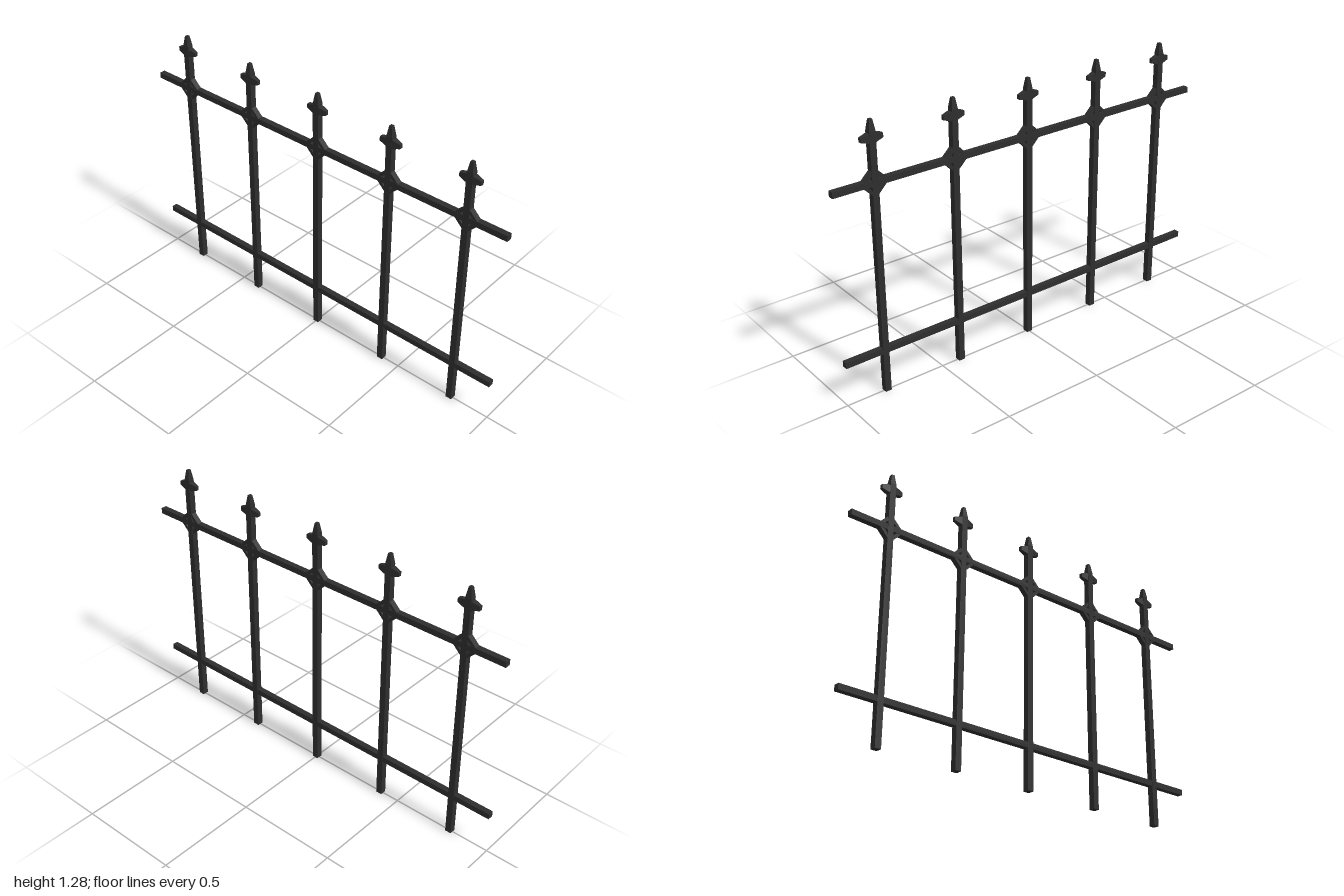
import * as THREE from 'three';

const iron = new THREE.MeshStandardMaterial({ color: 0x2f2e2e });
iron.name = 'dark iron';

function add(parent, name, geometry, x = 0, y = 0, z = 0) {
  const mesh = new THREE.Mesh(geometry, iron);
  mesh.name = name;
  mesh.position.set(x, y, z);
  parent.add(mesh);
  return mesh;
}

// Box whose cross-section shrinks along +y from (w0, d0) to (w1, d1)
function taperedBox(w0, d0, w1, d1, length) {
  const geometry = new THREE.BoxGeometry(1, length, 1);
  const p = geometry.attributes.position;
  for (let i = 0; i < p.count; i++) {
    const top = p.getY(i) > 0;
    p.setX(i, p.getX(i) * (top ? w1 : w0));
    p.setZ(i, p.getZ(i) * (top ? d1 : d0));
  }
  geometry.translate(0, length / 2, 0);
  geometry.computeVertexNormals();
  return geometry;
}

// Square frame standing on its corner
function diamondFrame(outer, inner, depth) {
  const corners = (r) => [[r, 0], [0, r], [-r, 0], [0, -r]].map(([x, y]) => new THREE.Vector2(x, y));
  const shape = new THREE.Shape(corners(outer));
  shape.holes.push(new THREE.Path(corners(inner).reverse()));
  const geometry = new THREE.ExtrudeGeometry(shape, { depth, bevelEnabled: false });
  return geometry.translate(0, 0, -depth / 2);
}

export function createModel() {
  const fence = new THREE.Group();
  fence.name = 'fence';
  const bar = 0.03;

  // Horizontal rails
  add(fence, 'lowerRail', new THREE.BoxGeometry(2, 0.028, 0.028), 0, 0.21);
  add(fence, 'upperRail', new THREE.BoxGeometry(2, 0.028, 0.028), 0, 1.01);

  const frame = diamondFrame(0.068, 0.046, 0.026);
  const picket = new THREE.BoxGeometry(bar, 1.235, bar);
  const spike = taperedBox(bar, bar, 0.014, 0.016, 0.05);
  const arm = taperedBox(0.042, 0.028, 0.02, 0.016, 0.04);

  // Pickets with diamond frames and pointed finials
  for (let i = -2; i <= 2; i++) {
    const post = new THREE.Group();
    post.name = 'picket';
    post.position.x = i * 0.4;
    fence.add(post);

    add(post, 'picketBar', picket, 0, 0.6175);
    add(post, 'diamondFrame', frame, 0, 1.01);
    add(post, 'finialSpike', spike, 0, 1.235);
    for (const side of [-1, 1]) {
      const mesh = add(post, side > 0 ? 'leftFinialArm' : 'rightFinialArm', arm, side * 0.013, 1.205);
      mesh.rotation.z = -side * Math.PI / 2;
    }
  }
  return fence;
}
